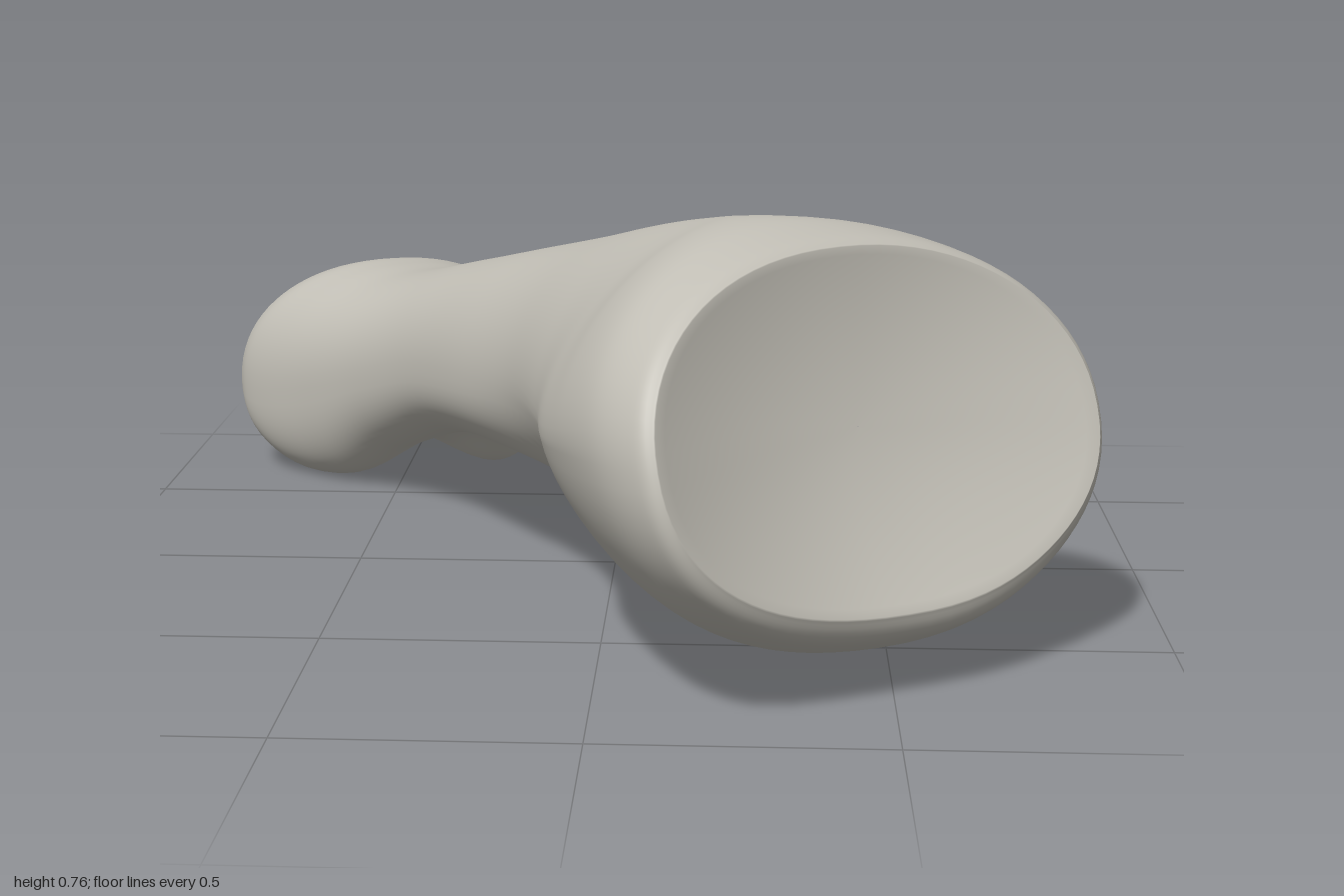
import * as THREE from 'three';

const AROUND = 80;

// Cross-sections along the bone:
// s, half width, top, bottom, widest height, upper roundness, lower roundness, underside groove
const SECTIONS = [
  [-0.89, 0.446, 0.722, 0.15, 0.43, 2.15, 2.2, 0],
  [-0.86, 0.468, 0.738, 0.10, 0.43, 2.1, 2.2, 0],
  [-0.75, 0.478, 0.754, 0.045, 0.42, 1.95, 2.1, 0],
  [-0.60, 0.452, 0.753, 0.018, 0.40, 1.7, 2.0, 0],
  [-0.45, 0.405, 0.737, 0.045, 0.38, 1.55, 1.85, 0],
  [-0.28, 0.325, 0.703, 0.125, 0.37, 1.6, 1.9, 0],
  [-0.06, 0.265, 0.650, 0.165, 0.365, 1.85, 2.2, 0],
  [0.20, 0.243, 0.590, 0.185, 0.34, 2.1, 2.4, 0],
  [0.45, 0.230, 0.53, 0.160, 0.31, 2.2, 2.5, 0.01],
  [0.65, 0.241, 0.485, 0.075, 0.26, 2.2, 2.6, 0.055],
  [0.80, 0.272, 0.46, -0.02, 0.21, 2.2, 2.8, 0.10],
  [0.92, 0.304, 0.456, -0.045, 0.18, 2.2, 2.8, 0.11],
  [1.00, 0.316, 0.455, -0.025, 0.18, 2.2, 2.8, 0.085],
  [1.05, 0.306, 0.445, 0.015, 0.18, 2.2, 2.6, 0.055],
];

const smooth = THREE.MathUtils.smoothstep;

// Catmull-Rom blend of the section table, t from 0 to 1
function sectionAt(t) {
  const last = SECTIONS.length - 1;
  const f = Math.min(t * last, last - 1e-6);
  const i = Math.floor(f), u = f - i;
  const row = (k) => SECTIONS[Math.max(0, Math.min(last, k))];
  return row(i).map((b, k) => {
    const a = row(i - 1)[k], c = row(i + 1)[k], d = row(i + 2)[k];
    return b + 0.5 * u * (c - a + u * (2 * a - 5 * b + 4 * c - d + u * (3 * (b - c) + d - a)));
  });
}

// One ring of points; scale shrinks it for the end faces, push moves it along the bone
function addRing(out, section, scale = 1, push = 0) {
  const [s0, hw, top, bottom, mid, nTop, nBottom, groove] = section;
  const baseEnd = 1 - smooth(s0, -0.92, -0.4);
  const headEnd = smooth(s0, 0.5, 1.0);
  const skew = 0.06 * smooth(s0, -0.9, -0.55) * (1 - smooth(s0, -0.35, 0.2));
  for (let j = 0; j < AROUND; j++) {
    const a = (j / AROUND) * Math.PI * 2;
    const c = Math.cos(a), n = Math.sin(a);
    const e = 2 / (n >= 0 ? nTop : nBottom);
    let w = hw * Math.sign(c) * Math.abs(c) ** e * scale;
    const rise = n >= 0 ? top - mid : mid - bottom;
    let y = mid + rise * Math.sign(n) * Math.abs(n) ** e * scale;
    if (n < 0) y += groove * Math.exp(-((w / (0.45 * hw)) ** 2)) * Math.abs(n) * scale;

    // behind the rim the crest sits to one side and the underside to the other
    w -= skew * n + 0.012 * headEnd;

    // the socket leans back at the top, with a lip bulging at the lower edge
    const t = (y - 0.42) / 0.33;
    const lip = t < 0 ? 0.03 * t * t * Math.exp(-(((w - 0.15) / 0.2) ** 2)) : 0;
    let s = s0 + push + (0.111 * t + 0.0605 * t * t - lip + 0.03 * w) * baseEnd;

    // the head end is skewed sideways and rounded from top to bottom
    s -= (0.23 * w + 0.8 * (y - 0.17) ** 2) * headEnd;

    // turn from bone axes to model axes
    out.push(0.838 * w - 0.546 * s, y, -0.546 * w - 0.838 * s);
  }
}

export function createModel() {
  const group = new THREE.Group();
  group.name = 'fingerBone';
  const bone = new THREE.MeshStandardMaterial({ color: 0xc1beb5 });
  bone.name = 'bone';

  const pts = [];
  const first = sectionAt(0), last = sectionAt(1);

  // hollow socket face, centre to rim
  const SOCKET = 20, BODY = 91, HEAD = 16;
  for (let i = 0; i < SOCKET; i++) {
    const r = Math.max(i / SOCKET, 0.002);
    addRing(pts, first, r, 0.09 * (1 - r * r));
  }
  // body
  for (let i = 0; i <= BODY; i++) addRing(pts, sectionAt(i / BODY));
  // rounded head end, rim to centre
  for (let i = 1; i <= HEAD; i++) {
    const r = Math.max(Math.cos((i / HEAD) * Math.PI / 2), 0.002);
    addRing(pts, last, r, 0.035 * (1 - r ** 3) ** 0.6);
  }

  const rings = pts.length / 3 / AROUND;
  const strip = (from, to) => {
    const index = [];
    for (let i = from; i < to; i++) {
      for (let j = 0; j < AROUND; j++) {
        const k = (j + 1) % AROUND;
        const a = i * AROUND + j, b = i * AROUND + k;
        const c = a + AROUND, d = b + AROUND;
        index.push(a, c, b, b, c, d);
      }
    }
    return index;
  };

  const whole = new THREE.BufferGeometry();
  whole.setAttribute('position', new THREE.Float32BufferAttribute(pts, 3));
  whole.setIndex(strip(0, rings - 1));
  whole.computeVertexNormals();

  // split into parts that share smooth normals
  const shaftStart = SOCKET + 35, shaftEnd = SOCKET + 63;
  const parts = [
    ['socketFace', 0, SOCKET],
    ['base', SOCKET, shaftStart],
    ['shaft', shaftStart, shaftEnd],
    ['head', shaftEnd, rings - 1],
  ];
  for (const [name, from, to] of parts) {
    const geo = new THREE.BufferGeometry();
    geo.setAttribute('position', whole.getAttribute('position'));
    geo.setAttribute('normal', whole.getAttribute('normal'));
    geo.setIndex(strip(from, to));
    const mesh = new THREE.Mesh(geo, bone);
    mesh.name = name;
    group.add(mesh);
  }
  return group;
}
